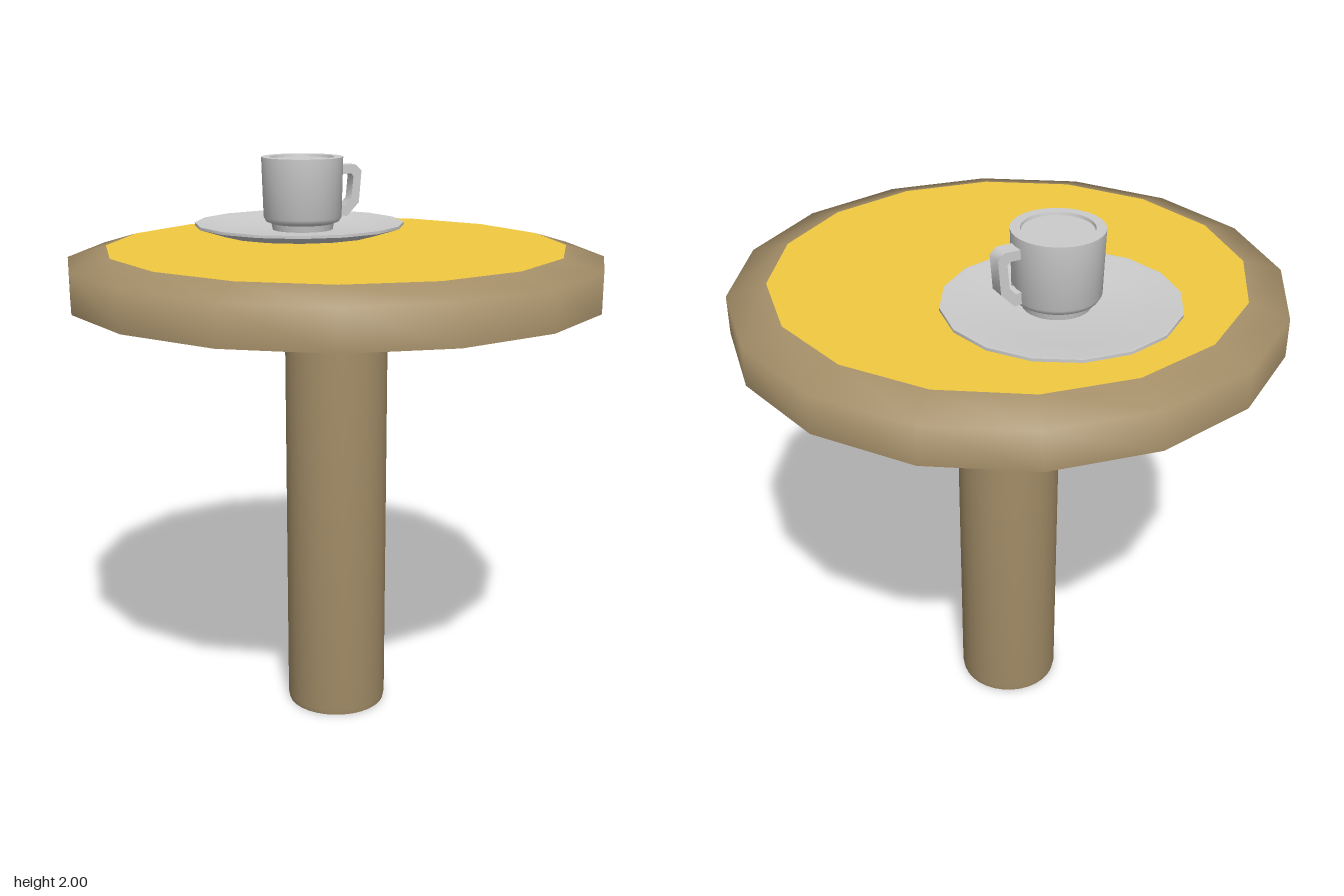
import * as THREE from 'three';
import { toCreasedNormals } from 'three/addons/utils/BufferGeometryUtils.js';

const wood = new THREE.MeshStandardMaterial({ color: 0xa58f69 });
const yellow = new THREE.MeshStandardMaterial({ color: 0xf2ca40 });
const china = new THREE.MeshStandardMaterial({ color: 0xcccccc });

// Turned part from a bottom-to-top [radius, height] profile
function turned(name, profile, sides, turn, crease, material) {
  const points = profile.map(([r, y]) => new THREE.Vector2(r, y));
  const lathe = new THREE.LatheGeometry(points, sides, turn);
  const mesh = new THREE.Mesh(toCreasedNormals(lathe, crease), material);
  mesh.name = name;
  return mesh;
}

// Closed outline from a few corner points
function outline(Type, corners) {
  return new Type(corners.map(([x, y]) => new THREE.Vector2(x, y)));
}

export function createModel() {
  const model = new THREE.Group();
  model.name = 'cafeTable';

  // Pedestal
  model.add(turned('column',
    [[0, 0], [0.178, 0], [0.182, 0.02], [0.182, 1.55]], 32, 0, 0.8, wood));

  // Sixteen-sided top with a sloping rim around the yellow surface
  const turn = -0.162;
  model.add(turned('tableTop',
    [[0, 1.545], [0.935, 1.545], [0.935, 1.68], [0.8, 1.72]], 16, turn, 1.35, wood));
  model.add(turned('tableSurface', [[0.8, 1.72], [0, 1.72]], 16, turn, 0.5, yellow));

  // Saucer with a shallow well
  const saucer = turned('saucer', [
    [0, 1.722], [0.29, 1.722], [0.385, 1.752], [0.385, 1.762],
    [0.37, 1.762], [0.25, 1.74], [0, 1.738],
  ], 16, -0.133, 0.5, china);
  saucer.position.set(0.17, 0, -0.287);
  model.add(saucer);

  // Filled cup
  const cup = new THREE.Group();
  cup.name = 'cup';
  cup.position.set(0.16, 0, -0.265);
  cup.rotation.y = -0.57;
  model.add(cup);
  cup.add(turned('cupBody', [
    [0, 1.738], [0.11, 1.738], [0.115, 1.762], [0.135, 1.77],
    [0.143, 1.785], [0.149, 2], [0.117, 2], [0.115, 1.99], [0, 1.99],
  ], 32, 0, 0.8, china));

  // Angular loop handle
  const shape = outline(THREE.Shape, [
    [0.13, 1.785], [0.165, 1.782], [0.212, 1.83], [0.222, 1.945],
    [0.2, 1.967], [0.13, 1.967],
  ]);
  shape.holes.push(outline(THREE.Path, [
    [0.14, 1.825], [0.14, 1.935], [0.182, 1.935], [0.19, 1.925], [0.182, 1.845], [0.16, 1.822],
  ]));
  const handleGeometry = new THREE.ExtrudeGeometry(shape, { depth: 0.056, bevelEnabled: false });
  handleGeometry.translate(0, 0, -0.028);
  const handle = new THREE.Mesh(toCreasedNormals(handleGeometry, 0.9), china);
  handle.name = 'cupHandle';
  cup.add(handle);

  return model;
}
